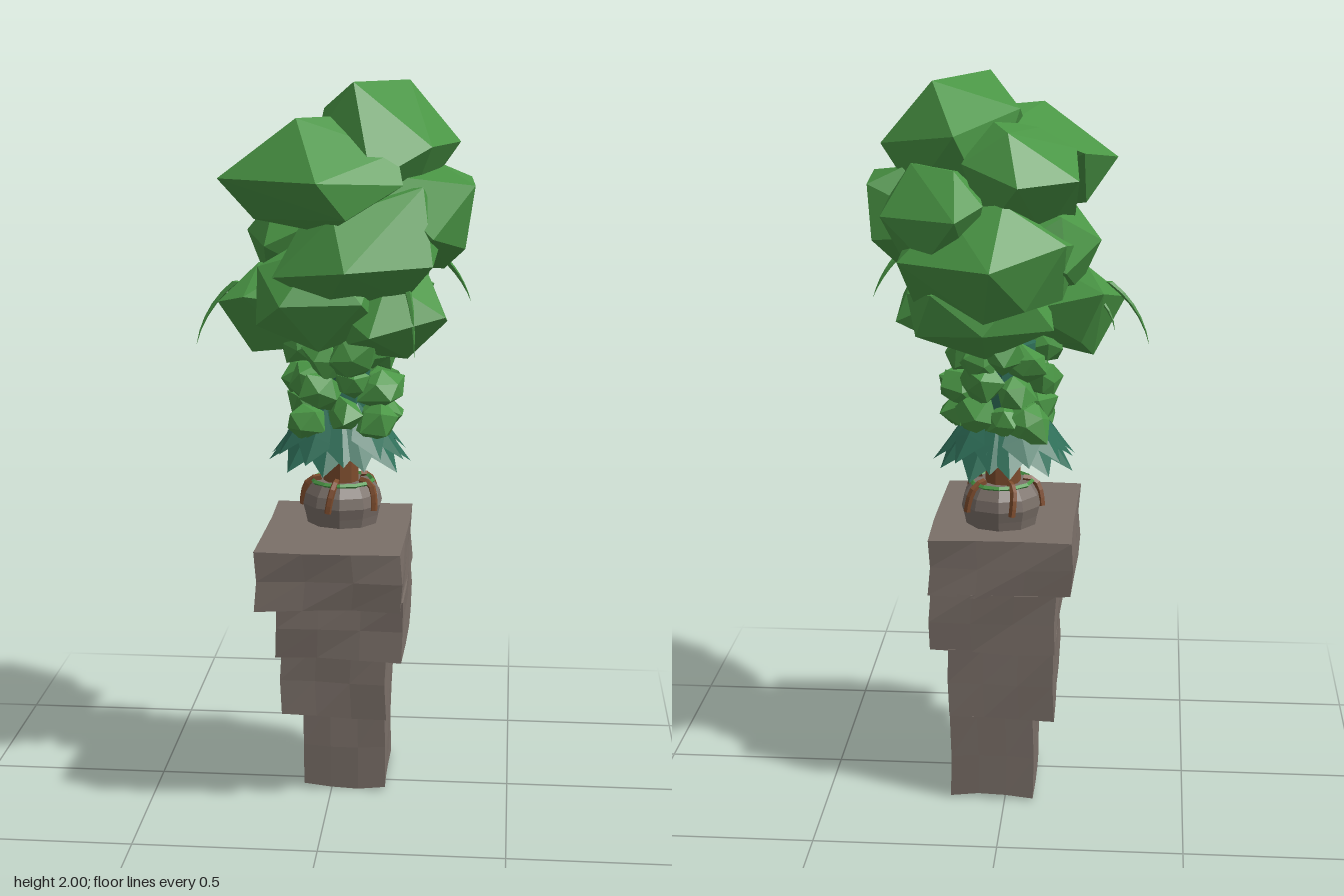
import * as THREE from 'three';
import { ConvexGeometry } from 'three/addons/geometries/ConvexGeometry.js';

const mat = (name, color, side = THREE.FrontSide) => {
  const m = new THREE.MeshStandardMaterial({ color, side });
  m.name = name;
  return m;
};

// Facet a geometry by giving every triangle its own normal
function facet(geo) {
  const g = geo.index ? geo.toNonIndexed() : geo;
  g.computeVertexNormals();
  return g;
}

// Move every vertex by a rule
function warp(geo, rule) {
  const p = geo.attributes.position, v = new THREE.Vector3();
  for (let i = 0; i < p.count; i++) {
    rule(v.fromBufferAttribute(p, i));
    p.setXYZ(i, v.x, v.y, v.z);
  }
  return geo;
}

// Stretch a geometry to fill [x0, x1, y0, y1, z0, z1]
function fit(geo, [x0, x1, y0, y1, z0, z1]) {
  geo.computeBoundingBox();
  const { min, max } = geo.boundingBox;
  const map = (a, lo, hi, b0, b1) => b0 + ((a - lo) / (hi - lo)) * (b1 - b0);
  return warp(geo, (v) => v.set(
    map(v.x, min.x, max.x, x0, x1),
    map(v.y, min.y, max.y, y0, y1),
    map(v.z, min.z, max.z, z0, z1)));
}

// Irregular twenty-sided foliage clump
function clump(box, seed, rough) {
  const g = new THREE.IcosahedronGeometry(1, 0);
  g.rotateX(seed * 1.3).rotateY(seed * 2.1);
  warp(g, (v) => v.multiplyScalar(1 + rough * Math.sin(5 * v.x + seed) * Math.cos(4 * v.y + 3 * v.z + 2 * seed)));
  return facet(fit(g, box));
}

// Foliage clump spanned by a few corner points
const hull = (pts) => facet(new ConvexGeometry(pts.map((p) => new THREE.Vector3(...p))));

// Slightly uneven block with a flat top
function block(box, seed) {
  const g = new THREE.BoxGeometry(1, 1, 1, 3, 2, 3);
  warp(g, (v) => {
    const { x, y, z } = v, low = 0.5 - y;
    v.x += 0.01 * Math.sin(5 * y + 4 * z + seed);
    v.z += 0.01 * Math.sin(4 * y + 5 * x + seed * 2);
    v.y += 0.03 * low * Math.sin(4 * x + 3 * z + seed * 3);
  });
  return facet(fit(g, box));
}

// Tapering spike bent along a curve, pointing down
function spike(points, r) {
  const curve = new THREE.QuadraticBezierCurve3(...points.map((p) => new THREE.Vector3(...p)));
  const g = new THREE.ConeGeometry(r, 1, 5, 5);
  warp(g, (v) => {
    const c = curve.getPoint(THREE.MathUtils.clamp(v.y + 0.5, 0, 1));
    v.set(c.x + v.x, c.y, c.z - v.z);
  });
  return facet(g);
}

// Broad ridged drooping leaf pointing along +x
function frondGeometry() {
  const root = [0.08, 0.16, 0], ridge = [0.145, 0.075, 0], tip = [0.2, 0, 0];
  const a = [0.14, 0.055, 0.06], b = [0.14, 0.055, -0.06];
  const g = new THREE.BufferGeometry();
  g.setAttribute('position', new THREE.Float32BufferAttribute(
    [root, a, ridge, root, ridge, b, a, tip, ridge, ridge, tip, b].flat(), 3));
  g.computeVertexNormals();
  return g;
}

export function createModel() {
  const model = new THREE.Group();
  const stone = mat('stone', 0x7a6f68);
  const leaf = mat('leaf green', 0x4a9645);
  const teal = mat('teal frond', 0x2f6f59, THREE.DoubleSide);
  const bark = mat('bark', 0x7d4c2d);
  const add = (name, geo, material, parent = model) => {
    const m = new THREE.Mesh(geo, material);
    m.name = name;
    parent.add(m);
    return m;
  };
  const group = (name, x = 0, y = 0, z = 0) => {
    const g = new THREE.Group();
    g.name = name;
    g.position.set(x, y, z);
    model.add(g);
    return g;
  };

  // Stepped stone pillar, flush at the back
  const pillar = group('stonePillar');
  [
    [-0.082, 0.154, 0, 0.25, -0.217, 0.077],
    [-0.138, 0.16, 0.24, 0.45, -0.219, 0.157],
    [-0.142, 0.211, 0.44, 0.615, -0.222, 0.243],
    [-0.188, 0.212, 0.605, 0.77, -0.222, 0.327],
  ].forEach((box, i) => add('pillarBlock', block(box, i * 1.7 + 1), stone, pillar));

  // Stone pot with a leafy rim and short clinging roots
  const pot = group('pot', 0.022, 0.765, -0.03);
  const profile = [[0, 0], [0.1, 0], [0.106, 0.03], [0.114, 0.06], [0.107, 0.09], [0.085, 0.122], [0, 0.122]]
    .map(([r, y]) => new THREE.Vector2(r, y));
  add('potBody', facet(new THREE.LatheGeometry(profile, 10)), stone, pot);
  const rim = facet(new THREE.TorusGeometry(0.085, 0.007, 4, 12).rotateX(Math.PI / 2));
  add('potRim', rim, leaf, pot).position.y = 0.122;
  const rootCurve = new THREE.CatmullRomCurve3([[0.06, 0.13, 0], [0.092, 0.122, 0], [0.108, 0.09, 0.006], [0.112, 0.05, 0.012]]
    .map((p) => new THREE.Vector3(...p)));
  const rootGeo = facet(new THREE.TubeGeometry(rootCurve, 5, 0.01, 5));
  for (let i = 0; i < 5; i++) add('root', rootGeo, bark, pot).rotation.y = i * 1.257 + 0.75;

  // Trunk
  add('trunk', facet(new THREE.CylinderGeometry(0.048, 0.05, 0.4, 9)), bark).position.set(0.018, 1.07, -0.03);

  // Skirt of drooping fronds in two rings over a solid core
  const skirt = group('frondSkirt', 0.013, 0.945, -0.03);
  const frond = frondGeometry();
  for (let ring = 0; ring < 2; ring++) {
    for (let i = 0; i < 11; i++) {
      const f = add('frond', frond, teal, skirt);
      f.rotation.y = ((i + ring / 2) / 11) * Math.PI * 2;
      f.position.y = ring * 0.025 + 0.01 * Math.sin(i * 2.3);
      f.scale.setScalar(ring ? 0.95 : 1);
    }
  }
  add('frondBase', facet(new THREE.CylinderGeometry(0.085, 0.135, 0.1, 12)), teal, skirt).position.y = 0.11;
  add('frondCore', facet(new THREE.CylinderGeometry(0.09, 0.085, 0.2, 10)), teal, skirt).position.y = 0.245;

  // Collar of small, uneven leaf clumps
  const collar = group('leafCollar', 0.024, 0, -0.02);
  for (let row = 0; row < 3; row++) {
    for (let i = 0; i < 8; i++) {
      const s = row * 8 + i, a = ((i + row * 0.4 + 0.2 * Math.sin(s * 5.1)) / 8) * Math.PI * 2;
      const r = 0.108 + 0.014 * Math.sin(s * 2.7), w = 0.059 + 0.008 * Math.sin(s * 1.9);
      const x = Math.cos(a) * r, z = Math.sin(a) * r;
      const y = 1.085 + row * 0.087 + 0.015 * Math.sin(s * 3.7), h = w * 0.9;
      add('leafClump', clump([x - w, x + w, y - h, y + h, z - w, z + w], s, 0.35), leaf, collar);
    }
  }

  // Crown: inner and lower rounded clumps
  const crown = group('crown');
  [
    [-0.06, 0.31, 1.255, 1.52, -0.12, 0.22],
    [-0.13, 0.27, 1.27, 1.53, -0.29, 0],
    [-0.25, 0.05, 1.44, 1.7, -0.23, 0.08],
    [-0.2, 0.14, 1.29, 1.58, -0.02, 0.27],
  ].forEach((box, i) => add('innerClump', clump(box, i * 1.37 + 1.97, 0.16), leaf, crown));

  // Crown: large faceted clumps
  const clumps = {
    frontTopClump: [
      [-0.285, 1.755, 0.235], [-0.01, 1.76, 0.405], [-0.08, 1.91, 0.215], [0.06, 1.91, 0.1],
      [-0.2, 1.8, -0.02], [-0.2, 1.64, 0.15], [0, 1.61, 0.2], [0.06, 1.66, 0.34],
      [0.2, 1.74, 0.23], [0.0, 1.88, -0.025], [0.1, 1.66, 0.05], [0.18, 1.82, 0.17],
    ],
    topClump: [
      [0.065, 2, 0.16], [0.2, 1.995, -0.075], [0.34, 1.83, -0.07], [0.27, 1.83, 0.12],
      [0.12, 1.75, 0.26], [0.13, 1.87, -0.23], [-0.03, 1.92, -0.04], [-0.03, 1.86, 0.14],
      [0.2, 1.65, 0], [0.05, 1.65, 0.05], [0.05, 1.68, -0.15], [0.25, 1.7, -0.1],
    ],
    frontClump: [
      [0.06, 1.53, 0.383], [-0.14, 1.5, 0.26], [0.28, 1.53, 0.24], [0, 1.42, 0.2],
      [0.02, 1.66, 0.27], [0.25, 1.73, 0.17], [0.2, 1.42, 0.1], [-0.08, 1.62, 0.12],
      [0.3, 1.6, 0.05], [0.1, 1.7, 0], [0, 1.45, 0],
    ],
    leftClump: [
      [0.37, 1.73, -0.13], [0.385, 1.73, 0.12], [0.28, 1.77, -0.1], [0.36, 1.58, -0.13],
      [0.36, 1.56, 0.1], [0.3, 1.49, -0.02], [0.28, 1.6, 0.23], [0.1, 1.76, 0.12],
      [0.1, 1.5, 0], [0.1, 1.6, -0.15],
    ],
    backClump: [
      [0.025, 1.55, -0.405], [-0.165, 1.6, -0.275], [0.275, 1.55, -0.275], [0, 1.7, -0.25],
      [0.15, 1.68, -0.22], [0.05, 1.39, -0.28], [-0.15, 1.43, -0.15], [0.24, 1.4, -0.15],
      [-0.06, 1.43, -0.3], [0.27, 1.58, -0.05], [-0.2, 1.56, -0.05],
    ],
    backTopClump: [
      [-0.04, 1.75, -0.305], [-0.195, 1.76, -0.235], [0.11, 1.8, -0.225], [-0.01, 1.88, -0.22],
      [-0.18, 1.82, -0.06], [-0.08, 1.87, -0.03], [0.05, 1.9, -0.08], [-0.1, 1.6, -0.15],
      [0.05, 1.62, -0.2], [-0.18, 1.65, -0.1], [0, 1.6, 0],
    ],
    backLeftClump: [
      [0.115, 1.67, -0.365], [0.325, 1.66, -0.22], [0.31, 1.7, -0.13], [0.05, 1.7, -0.28],
      [0.13, 1.78, -0.22], [0.25, 1.79, -0.15], [0.2, 1.55, -0.28], [0.1, 1.52, -0.15],
      [0.28, 1.53, -0.12], [0.1, 1.75, 0],
    ],
    rightClump: [
      [-0.315, 1.4, 0.045], [-0.24, 1.42, 0.085], [-0.26, 1.45, -0.16], [-0.21, 1.5, -0.03],
      [-0.23, 1.25, -0.02], [-0.1, 1.27, 0.02], [-0.1, 1.5, 0], [-0.2, 1.31, -0.13],
      [-0.05, 1.4, -0.15], [-0.05, 1.4, 0.1],
    ],
  };
  for (const [name, pts] of Object.entries(clumps)) add(name, hull(pts), leaf, crown);

  // Hanging leaf spikes
  [
    [[-0.27, 1.45, 0], [-0.36, 1.38, 0.01], [-0.382, 1.27, 0.012]],
    [[0.3, 1.52, 0], [0.35, 1.47, -0.02], [0.375, 1.4, -0.02]],
    [[0.2, 1.48, 0.13], [0.23, 1.4, 0.16], [0.23, 1.27, 0.175]],
    [[-0.2, 1.46, -0.1], [-0.28, 1.42, -0.12], [-0.29, 1.34, -0.12]],
  ].forEach((pts) => add('hangingLeaf', spike(pts, 0.012), leaf, crown));

  return model;
}
